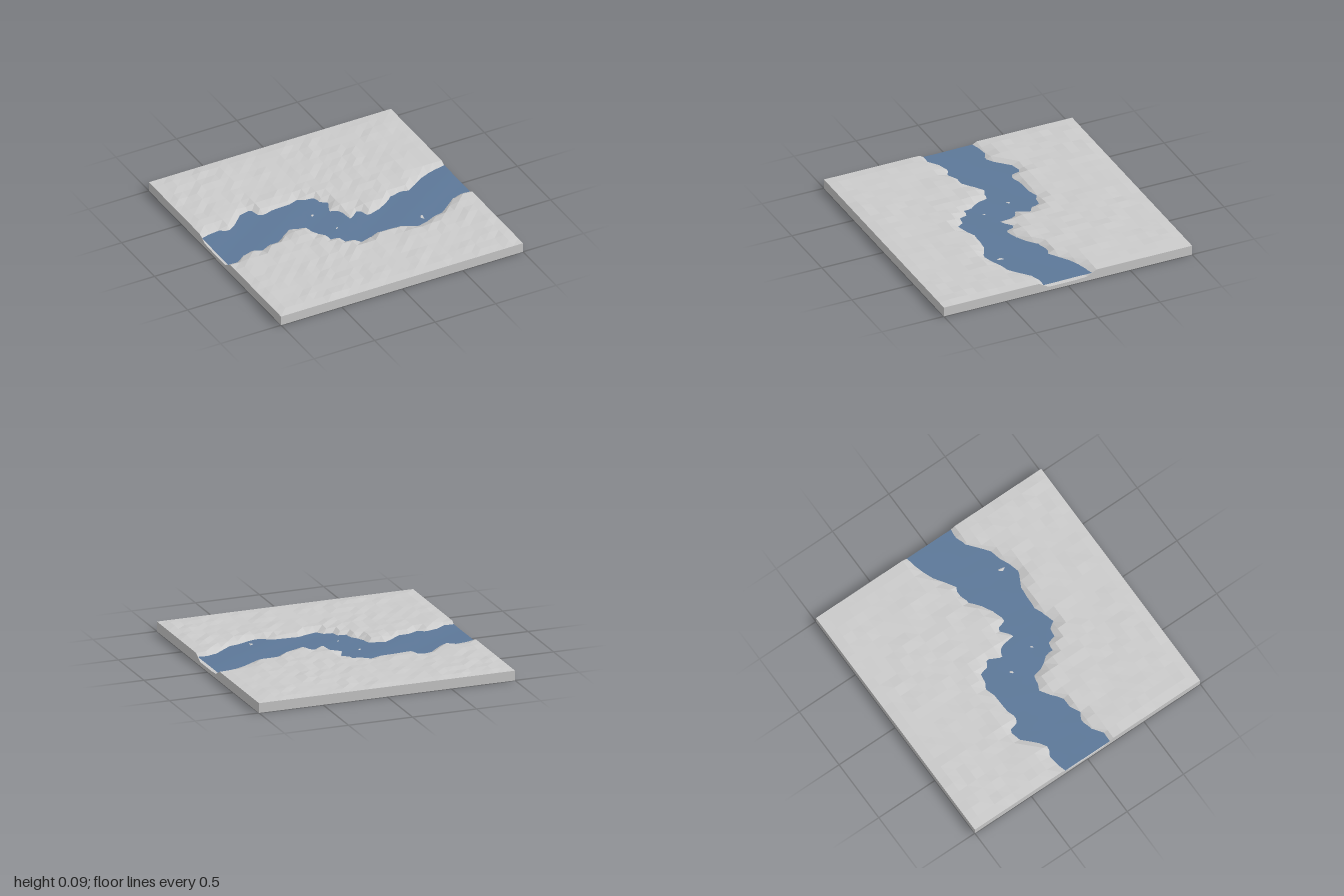
import * as THREE from 'three';

const CELLS = 26, LAND = 0.075, BED = 0.03, WATER = 0.056;

// River banks as x, z pairs running from -x to +x
const pairs = (a) => a.reduce((out, v, i) => (i % 2 ? out : [...out, [v, a[i + 1]]]), []);
const backBank = pairs([-1.2, -0.19, -1, -0.19, -0.9, -0.23, -0.82, -0.23, -0.75, -0.19, -0.65, -0.3, -0.55, -0.37,
  -0.46, -0.25, -0.35, -0.29, -0.25, -0.28, -0.15, -0.31, -0.06, -0.27, 0, -0.2, 0.04, -0.11, -0.03, -0.1,
  0.05, 0, 0.06, 0.1, 0.1, 0.07, 0.09, 0, 0.14, 0, 0.2, 0.11, 0.3, 0.08, 0.4, 0.03, 0.5, -0.06, 0.65, -0.01,
  0.72, -0.12, 0.85, -0.16, 1, -0.19, 1.2, -0.19]);
const frontBank = pairs([-1.2, 0.2, -1, 0.2, -0.93, 0.21, -0.87, 0.17, -0.8, 0.11, -0.7, 0.16, -0.6, 0.11, -0.53, 0.12,
  -0.4, 0, -0.3, 0.03, -0.25, 0.1, -0.22, 0.2, -0.1, 0.33, 0, 0.4, 0.07, 0.39, 0.1, 0.34, 0.2, 0.35, 0.33, 0.36,
  0.45, 0.41, 0.55, 0.39, 0.7, 0.34, 0.8, 0.26, 0.87, 0.2, 1, 0.2, 1.2, 0.2]);
const river = [...backBank, ...[...frontBank].reverse()];

// Signed distance to the river outline: negative in the river
function riverDistance(x, z) {
  let best = Infinity, inside = false;
  river.forEach(([ax, az], i) => {
    const [bx, bz] = river[(i + 1) % river.length];
    const dx = bx - ax, dz = bz - az;
    const t = THREE.MathUtils.clamp(((x - ax) * dx + (z - az) * dz) / (dx * dx + dz * dz), 0, 1);
    best = Math.min(best, Math.hypot(x - ax - t * dx, z - az - t * dz));
    if ((az > z) !== (bz > z) && x < ax + (dx * (z - az)) / dz) inside = !inside;
  });
  return inside ? -best : best;
}

// Repeatable noise, 0 to 1
function hash(i, j) {
  const s = Math.sin(i * 127.1 + j * 311.7) * 43758.5453;
  return s - Math.floor(s);
}

// Shoals that just break the water surface
const shoals = [[-0.154, -0.077], [0.538, 0.308], [0.692, -0.154], [-0.077, 0.154]];

function groundHeight(x, z) {
  const d = riverDistance(x, z);
  const i = Math.round(x * 13), j = Math.round(z * 13);
  const atEdge = Math.max(Math.abs(x), Math.abs(z)) > 0.99;
  let y = THREE.MathUtils.clamp(WATER + d * 0.58, BED, LAND);
  if (atEdge) return y;
  if (shoals.some(([sx, sz]) => Math.hypot(x - sx, z - sz) < 0.02)) return Math.max(y, WATER + 0.004);
  // gentle swells plus small facets, weaker in the river
  const swell = 0.5 + 0.25 * Math.sin(x * 5 + z * 3) + 0.25 * Math.sin(z * 7 - x * 2.5);
  const bump = 0.005 * swell + 0.008 * hash(i, j) ** 2;
  return y + bump * THREE.MathUtils.smoothstep(d, -0.05, 0.08);
}

// z of a bank at a given x
function bankAt(bank, x) {
  for (let k = 1; k < bank.length; k++) {
    const [ax, az] = bank[k - 1], [bx, bz] = bank[k];
    if (x >= ax && x <= bx) return az + ((bz - az) * (x - ax)) / (bx - ax);
  }
  return 0;
}

export function createModel() {
  const group = new THREE.Group();
  group.name = 'riverTile';

  // Solid block of ground whose top vertices follow the terrain
  const ground = new THREE.BoxGeometry(2, 1, 2, CELLS, 1, CELLS);
  const g = ground.attributes.position;
  for (let i = 0; i < g.count; i++) {
    g.setY(i, g.getY(i) > 0 ? groundHeight(g.getX(i), g.getZ(i)) : 0);
  }
  ground.computeVertexNormals();
  const terrain = new THREE.Mesh(ground, new THREE.MeshStandardMaterial({ color: 0xcccccc, flatShading: true }));
  terrain.name = 'terrain';
  group.add(terrain);

  // Water sheet tucked a little under both banks
  const sheet = new THREE.PlaneGeometry(2, 1, 2 * CELLS, 6).rotateX(-Math.PI / 2);
  const w = sheet.attributes.position;
  for (let i = 0; i < w.count; i++) {
    const x = w.getX(i), v = w.getZ(i) + 0.5;
    const z = THREE.MathUtils.lerp(bankAt(backBank, x) - 0.06, bankAt(frontBank, x) + 0.06, v);
    w.setXYZ(i, x, WATER + 0.001 * Math.sin(x * 9 + z * 14), z);
  }
  sheet.computeVertexNormals();
  const water = new THREE.Mesh(sheet, new THREE.MeshStandardMaterial({ color: 0x5d7899, side: THREE.DoubleSide }));
  water.name = 'water';
  group.add(water);

  return group;
}
